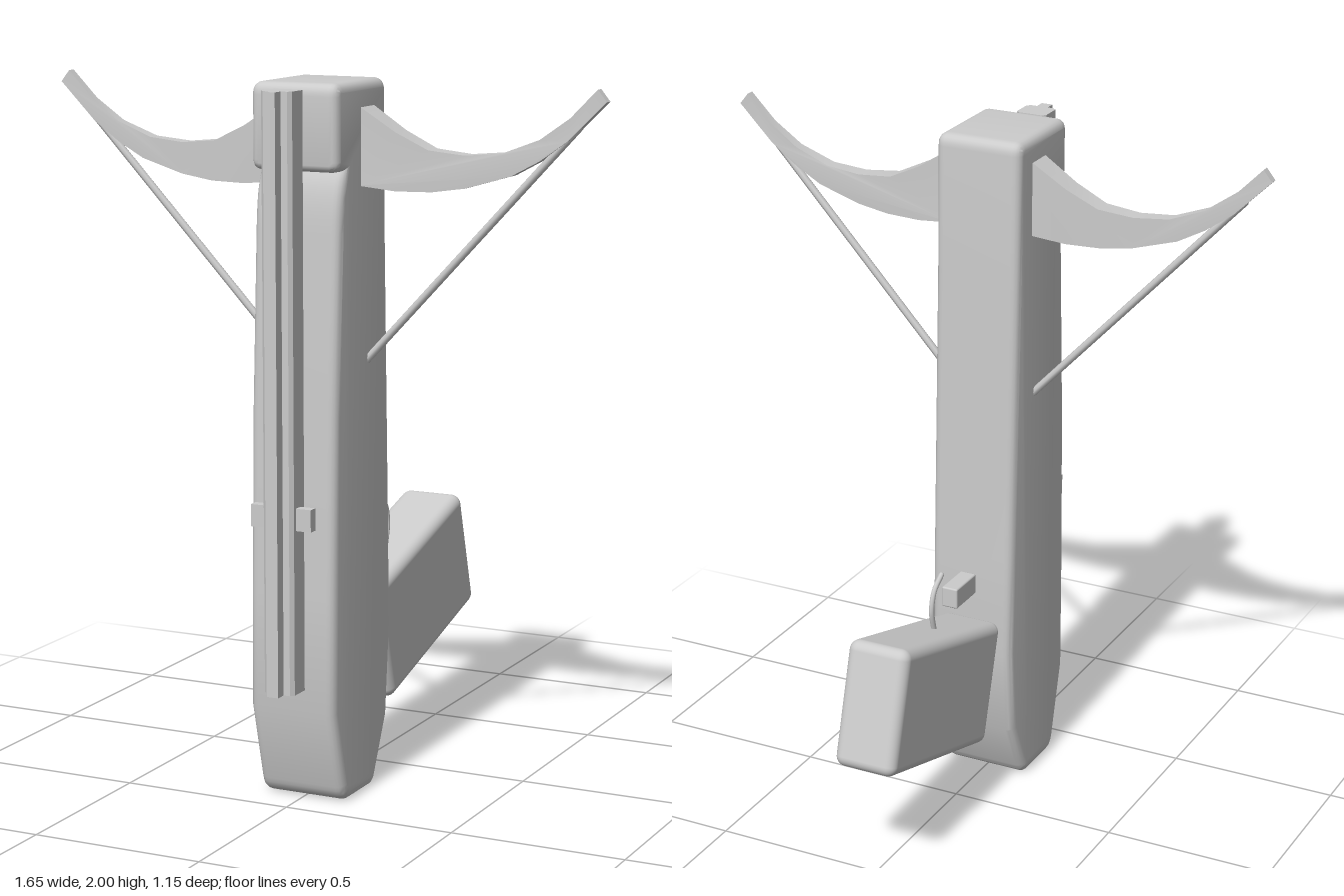
import * as THREE from 'three';
import { toCreasedNormals } from 'three/addons/utils/BufferGeometryUtils.js';
import { RoundedBoxGeometry } from 'three/addons/geometries/RoundedBoxGeometry.js';

const material = new THREE.MeshStandardMaterial({ color: 0xcccccc });

function part(parent, name, geometry, x = 0, y = 0, z = 0) {
  const mesh = new THREE.Mesh(geometry, material);
  mesh.name = name;
  mesh.position.set(x, y, z);
  parent.add(mesh);
  return mesh;
}

// Stock: side profile in (z, y), extruded across x with rounded edges
function stockGeometry() {
  const s = new THREE.Shape();
  s.moveTo(0.22, 0.005);
  s.lineTo(0.36, 0.005);
  s.quadraticCurveTo(0.398, 0.008, 0.408, 0.05);
  s.lineTo(0.465, 0.27);
  s.lineTo(0.462, 0.6);
  s.lineTo(0.45, 1.1);
  s.lineTo(0.425, 1.6);
  s.quadraticCurveTo(0.42, 1.72, 0.39, 1.762);
  s.lineTo(0.41, 1.762);
  s.quadraticCurveTo(0.44, 1.762, 0.44, 1.79);
  s.lineTo(0.44, 1.965);
  s.quadraticCurveTo(0.44, 2, 0.405, 2);
  s.lineTo(0.165, 2);
  s.quadraticCurveTo(0.13, 2, 0.13, 1.965);
  s.lineTo(0.125, 1.6);
  s.lineTo(0.1, 0.75);
  s.lineTo(0.093, 0.45);
  s.lineTo(0.117, 0.19);
  s.lineTo(0.19, 0.035);
  s.quadraticCurveTo(0.2, 0.01, 0.22, 0.005);
  const bevel = 0.025;
  const g = new THREE.ExtrudeGeometry(s, {
    depth: 0.26 - 2 * bevel, curveSegments: 6,
    bevelThickness: bevel, bevelSize: bevel, bevelOffset: -bevel, bevelSegments: 4,
  });
  g.translate(0, 0, bevel - 0.13);
  g.rotateY(-Math.PI / 2);
  return toCreasedNormals(g, 0.5);
}

// Bow limb: crescent outline that thins toward its tip
function limbGeometry(side) {
  const upper = [[0.12, 1.935], [0.23, 1.865], [0.325, 1.82], [0.43, 1.81],
    [0.535, 1.82], [0.64, 1.86], [0.725, 1.92], [0.8, 1.997]];
  const lower = [[0.826, 1.965], [0.72, 1.86], [0.64, 1.803], [0.56, 1.76],
    [0.43, 1.722], [0.335, 1.708], [0.23, 1.706], [0.12, 1.717]];
  const outline = [...upper, ...lower].map(([x, y]) => new THREE.Vector2(side * x, y));
  const g = new THREE.ExtrudeGeometry(new THREE.Shape(outline), { depth: 2, bevelEnabled: false });
  g.translate(0, 0, -1);
  const p = g.attributes.position;
  for (let i = 0; i < p.count; i++) {
    const t = Math.max(0, (0.83 - Math.abs(p.getX(i))) / 0.71);
    p.setZ(i, 0.253 + p.getZ(i) * (0.012 + 0.03 * Math.pow(t, 1.4)));
  }
  g.computeVertexNormals();
  return toCreasedNormals(g, 0.5);
}

export function createModel() {
  const model = new THREE.Group();
  model.name = 'crossbow';

  part(model, 'stock', stockGeometry());

  // Grip: rounded block tilted up toward the rear
  const grip = part(model, 'grip', new RoundedBoxGeometry(0.19, 0.365, 0.615, 4, 0.03), 0, 0.455, -0.232);
  grip.rotation.x = 0.28;

  // Rail with a central ridge
  const rail = new THREE.Group();
  rail.name = 'rail';
  model.add(rail);
  const r = new THREE.Shape([[-0.036, -0.465], [0.036, -0.465], [0.046, -0.475], [0.046, -0.535],
    [0.036, -0.545], [0.017, -0.545], [0.017, -0.578], [-0.017, -0.578], [-0.017, -0.545],
    [-0.036, -0.545], [-0.046, -0.535], [-0.046, -0.475]].map(([x, y]) => new THREE.Vector2(x, y)));
  const railGeometry = new THREE.ExtrudeGeometry(r, { depth: 1.645, bevelEnabled: false });
  railGeometry.rotateX(-Math.PI / 2);
  part(rail, 'railBar', railGeometry, 0, 0.34, 0);

  // Mirrored limbs, strings and rail pins
  for (const [side, label] of [[1, 'left'], [-1, 'right']]) {
    part(model, label + 'Limb', limbGeometry(side));
    const string = new THREE.LineCurve3(
      new THREE.Vector3(side * 0.75, 1.9, 0.254), new THREE.Vector3(side * 0.122, 1.23, 0.243));
    part(model, label + 'String', new THREE.TubeGeometry(string, 1, 0.011, 8));
    part(rail, label + 'RailPin', new THREE.BoxGeometry(0.05, 0.062, 0.028), side * 0.066, 0.83, 0.51);
  }

  // Trigger block and curved trigger
  part(model, 'triggerBlock', new RoundedBoxGeometry(0.05, 0.062, 0.122, 2, 0.005), 0, 0.673, 0.018);
  const hook = new THREE.CatmullRomCurve3([[0.768, -0.092], [0.735, -0.137], [0.68, -0.153], [0.61, -0.138]]
    .map(([y, z]) => new THREE.Vector3(0, y, z)));
  part(model, 'trigger', new THREE.TubeGeometry(hook, 16, 0.008, 8));
  part(model, 'triggerTip', new THREE.SphereGeometry(0.008, 8, 6), 0, 0.768, -0.092);

  return model;
}
